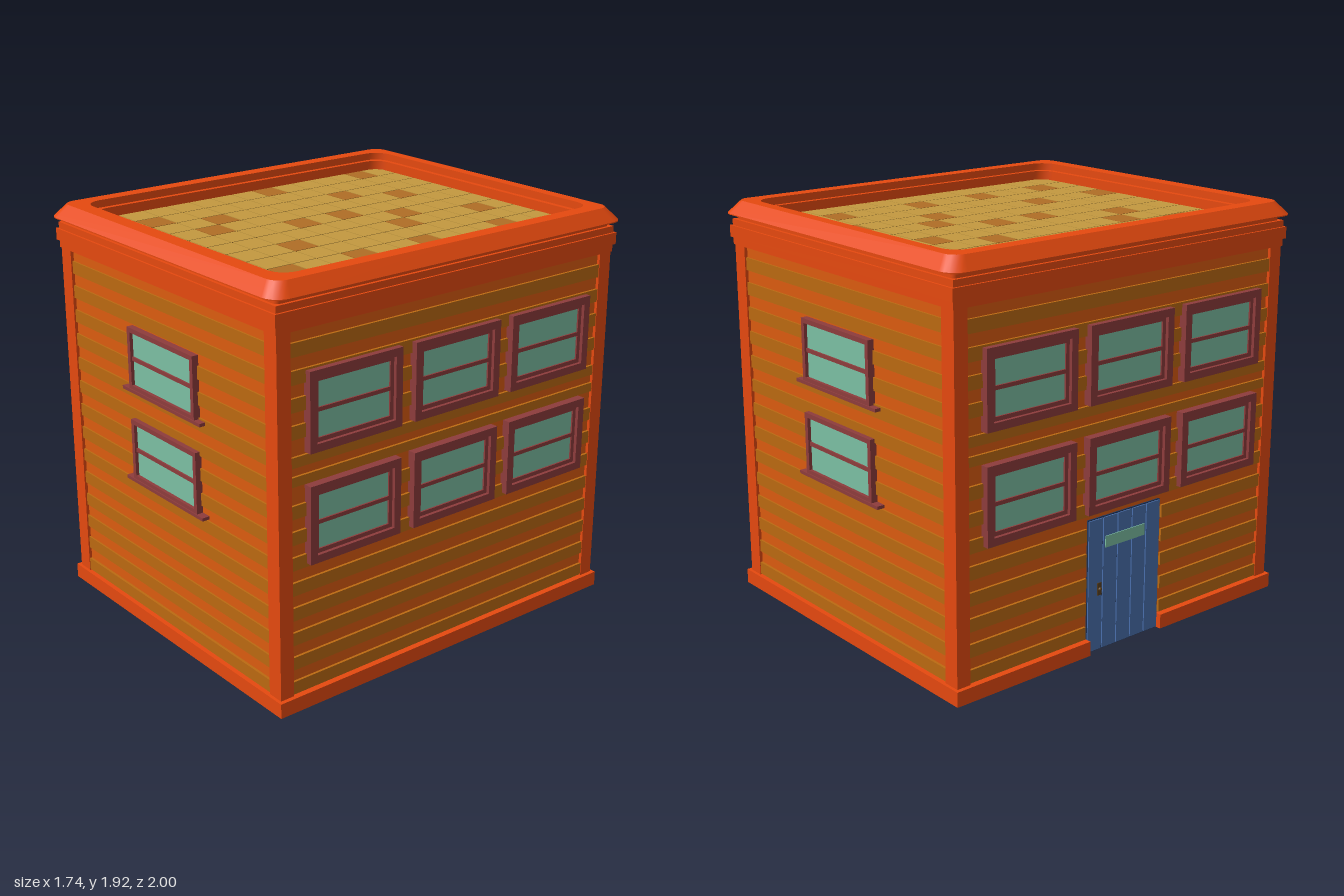
import * as THREE from 'three';

const mat = color => new THREE.MeshStandardMaterial({ color });
const M = {
  trim: mat(0xe6490f), wall: mat(0xdc5c10), plank: mat(0xbc6a11), frame: mat(0x8e3c3c),
  glass: mat(0x7cc0a4), tile: mat(0xc4993f), darkTile: mat(0xb06e25), grout: mat(0x54300f),
  door: mat(0x4a70ae), doorGap: mat(0x22365c), metal: mat(0x5a4020),
};

const BODY_X = 0.81, BODY_Z = 0.945; // half sizes of the wall core

function add(parent, name, geometry, material, x = 0, y = 0, z = 0) {
  const mesh = new THREE.Mesh(geometry, material);
  mesh.name = name;
  mesh.position.set(x, y, z);
  parent.add(mesh);
}

// Box given by its limits on each axis
function box(parent, name, material, x0, x1, y0, y1, z0, z1) {
  add(parent, name, new THREE.BoxGeometry(x1 - x0, y1 - y0, z1 - z0), material,
    (x0 + x1) / 2, (y0 + y1) / 2, (z0 + z1) / 2);
}

// Rectangular frame with a rectangular opening, extruded outward
function frame(parent, name, w, h, t, depth) {
  const rect = (C, a, b) => new C([[-a, -b], [a, -b], [a, b], [-a, b]].map(p => new THREE.Vector2(...p)));
  const shape = rect(THREE.Shape, w / 2, h / 2);
  shape.holes.push(rect(THREE.Path, w / 2 - t, h / 2 - t));
  add(parent, name, new THREE.ExtrudeGeometry(shape, { depth, bevelEnabled: false }), M.frame);
}

// Rounded rectangle outline as [x, z] points
function outline(hx, hz, r) {
  const pts = [];
  [[1, 1], [-1, 1], [-1, -1], [1, -1]].forEach(([sx, sz], q) => {
    for (let k = 0; k <= 5; k++) {
      const a = (q + k / 5) * Math.PI / 2;
      pts.push([sx * (hx - r) + r * Math.cos(a), sz * (hz - r) + r * Math.sin(a)]);
    }
  });
  return pts;
}

// Surface through a series of rounded rectangles [halfX, halfZ, radius, y, z offset]
function loft(parent, name, rings, material) {
  const pos = [], idx = [];
  for (let i = 0; i + 1 < rings.length; i++) {
    const base = pos.length / 3;
    for (const [hx, hz, r, y, dz = 0] of [rings[i], rings[i + 1]]) {
      outline(hx, hz, r).forEach(([x, z]) => pos.push(x, y, z + dz));
    }
    const n = (pos.length / 3 - base) / 2;
    for (let k = 0; k < n; k++) {
      const j = (k + 1) % n;
      idx.push(base + k, base + n + k, base + j, base + j, base + n + k, base + n + j);
    }
  }
  const g = new THREE.BufferGeometry();
  g.setAttribute('position', new THREE.Float32BufferAttribute(pos, 3));
  g.setIndex(idx);
  g.computeVertexNormals();
  add(parent, name, g, material);
}

// Sash window with its middle rail
function sashWindow(parent, x, y, wide) {
  const g = new THREE.Group();
  g.name = 'window';
  g.position.set(x, y, 0);
  const w = wide ? 0.492 : 0.512, h = wide ? 0.355 : 0.294;
  const t = wide ? 0.036 : 0.022, gw = w / 2 - t, gh = h / 2 - t;
  frame(g, 'windowFrame', w, h, t, wide ? 0.04 : 0.032);
  box(g, 'windowPane', M.glass, -gw, gw, -gh, gh, 0, 0.016);
  if (wide) frame(g, 'windowSash', gw * 2, gh * 2, 0.019, 0.024);
  box(g, 'windowRail', M.frame, -gw, gw, -0.009, 0.009, 0, 0.024);
  if (!wide) box(g, 'windowSill', M.frame, -0.305, 0.305, -h / 2 - 0.01, -h / 2 + 0.005, 0, 0.037);
  parent.add(g);
}

// One wall: local +z points outward, z = 0 on the wall core
function wall(parent, name, angle, dist, half, wide, hasDoor) {
  const g = new THREE.Group();
  g.name = name;
  g.rotation.y = angle;
  g.position.set(Math.sin(angle) * dist, 0, Math.cos(angle) * dist);
  parent.add(g);
  const windows = wide
    ? [-0.567, 0, 0.567].flatMap(x => [[x, 0.855], [x, 1.355]])
    : [[0, 0.885], [0, 1.325]];
  windows.forEach(([x, y]) => sashWindow(g, x, y, wide));

  // Weatherboards, interrupted by the door
  for (let i = 0; i < 14; i++) {
    let y0 = 0.075 + i * 0.1172, y1 = y0 + 0.06;
    if (wide && i === 8) [y0, y1] = [1.04, 1.083];
    if (wide && i === 9) [y0, y1] = [1.123, 1.17];
    const spans = hasDoor && i < 5 ? [[-half, -0.23], [0.23, half]] : [[-half, half]];
    for (const [x0, x1] of spans) {
      box(g, 'weatherboard', M.plank, x0, x1, y0, y1, -0.01, wide || i === 0 ? 0.012 : 0.008);
    }
  }
  return g;
}

function plankDoor(parent) {
  const g = new THREE.Group();
  g.name = 'door';
  parent.add(g);
  box(g, 'doorBacking', M.doorGap, -0.22, 0.22, 0, 0.64, -0.01, 0.006);
  for (let i = 0; i < 5; i++) {
    const x = -0.22 + i * 0.088;
    box(g, 'doorPlank', M.door, x + 0.003, x + 0.085, 0.005, 0.635, 0, 0.012);
  }
  box(g, 'doorPane', M.glass, -0.12, 0.12, 0.49, 0.545, 0, 0.016);
  box(g, 'doorPlate', M.metal, -0.165, -0.14, 0.27, 0.33, 0, 0.015);
  add(g, 'doorKnob', new THREE.SphereGeometry(0.009, 12, 8), M.metal, -0.152, 0.3, 0.018);
}

export function createModel() {
  const model = new THREE.Group();
  model.name = 'building';
  box(model, 'walls', M.wall, -BODY_X, BODY_X, 0, 1.8, -BODY_Z, BODY_Z);

  wall(model, 'frontWall', 0, BODY_Z, 0.745, false, false);
  wall(model, 'backWall', Math.PI, BODY_Z, 0.745, false, false);
  wall(model, 'leftWall', Math.PI / 2, BODY_X, 0.89, true, false);
  plankDoor(wall(model, 'rightWall', -Math.PI / 2, BODY_X, 0.89, true, true));

  // Corner posts
  for (const sx of [-1, 1]) for (const sz of [-1, 1]) {
    add(model, 'cornerPost', new THREE.BoxGeometry(0.08, 1.7, 0.07), M.trim, sx * 0.785, 0.87, sz * 0.925);
  }

  // Base board, open at the door
  for (const s of [-1, 1]) {
    add(model, 'baseBoard', new THREE.BoxGeometry(1.69, 0.07, 0.07), M.trim, 0, 0.035, s * 0.94);
    add(model, 'baseBoard', new THREE.BoxGeometry(0.07, 0.07, 0.685), M.trim, -0.81, 0.035, s * 0.5625);
  }
  box(model, 'baseBoard', M.trim, 0.775, 0.845, 0, 0.07, -0.905, 0.905);

  // Stepped cornice
  [[0.83, 0.965, 1.71, 1.745], [0.84, 0.975, 1.745, 1.8], [0.83, 0.965, 1.8, 1.83]]
    .forEach(([x, z, y0, y1]) => box(model, 'corniceBand', M.trim, -x, x, y0, y1, -z, z));

  // Sloping eave on a neck, with a stepped inner rim around the sunken roof
  loft(model, 'roofRim', [
    [0.815, 0.95, 0.02, 1.83], [0.815, 0.95, 0.02, 1.857], [0.868, 1, 0.08, 1.857], [0.868, 1, 0.08, 1.862],
    [0.815, 0.95, 0.06, 1.92], [0.745, 0.885, 0.08, 1.92, -0.01], [0.745, 0.885, 0.08, 1.885, -0.01],
    [0.72, 0.858, 0.075, 1.885, -0.012], [0.72, 0.858, 0.075, 1.83, -0.012],
  ], M.trim);

  // Roof tiles, some darker, with rows growing towards the front
  const dark = ['0,9', '1,0', '1,6', '2,3', '2,8', '4,2', '4,5', '5,6', '6,0', '6,4', '6,8', '8,4',
    '9,8', '10,2', '10,6', '11,3', '12,1', '12,8', '13,6'];
  box(model, 'roofDeck', M.grout, -0.74, 0.74, 1.825, 1.838, -0.88, 0.87);
  const w = 0.144, e = 0.003;
  const rowZ = r => -0.868 + 0.11 * r + 0.00087 * r * r;
  for (let r = 0; r < 14; r++) for (let c = 0; c < 10; c++) {
    const x = -0.72 + c * w;
    box(model, 'roofTile', dark.includes(`${r},${c}`) ? M.darkTile : M.tile,
      x + e, x + w - e, 1.83, 1.841, rowZ(r) + e, rowZ(r + 1) - e);
  }
  return model;
}
